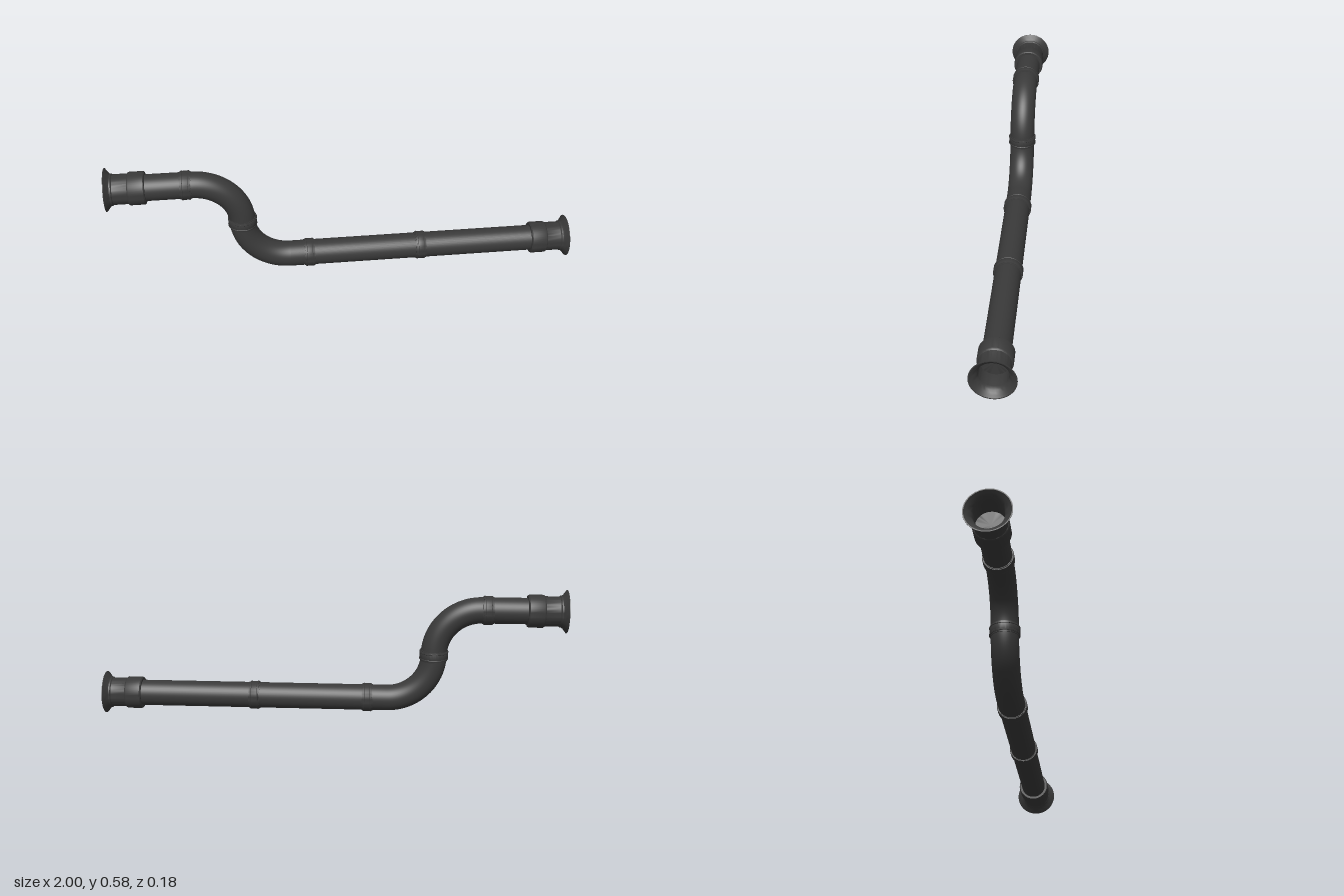
import * as THREE from 'three';
import { toCreasedNormals } from 'three/addons/utils/BufferGeometryUtils.js';

const R = 0.056, LOW = 0.0915, HIGH = 0.4915, BEND = 0.2, RISER_X = -0.445;
const SEGMENTS = 48;

export function createModel() {
  const group = new THREE.Group();
  const material = new THREE.MeshStandardMaterial({ color: 0x3a3a3a });

  const add = (name, geometry, x, y, rotZ = 0) => {
    const mesh = new THREE.Mesh(geometry, material);
    mesh.name = name;
    mesh.position.set(x, y, 0);
    mesh.rotation.z = rotZ;
    group.add(mesh);
  };
  const lathe = (profile) => toCreasedNormals(
    new THREE.LatheGeometry(profile.map(([r, h]) => new THREE.Vector2(r, h)), SEGMENTS), 0.6);
  const ALONG_X = -Math.PI / 2;

  // Straight pipe runs
  const run = (name, x0, x1, y) => add(name,
    new THREE.CylinderGeometry(R, R, x1 - x0, SEGMENTS, 1, true), (x0 + x1) / 2, y, ALONG_X);
  run('upperPipe', -0.9, RISER_X - BEND, HIGH);
  run('lowerPipe', RISER_X + BEND, 0.9, LOW);

  // Two quarter bends forming the S
  const bend = () => new THREE.TorusGeometry(BEND, R, SEGMENTS, 24, Math.PI / 2);
  add('upperBend', bend(), RISER_X - BEND, HIGH - BEND);
  add('lowerBend', bend(), RISER_X + BEND, LOW + BEND, Math.PI);

  // Joint collars: a raised band with a thin sleeve on each side
  const collar = lathe([
    [R - 0.002, -0.024], [0.058, -0.024], [0.058, -0.019], [0.0605, -0.019],
    [0.0625, -0.016], [0.0625, -0.013], [0.061, -0.011], [0.061, 0.011],
    [0.0625, 0.013], [0.0625, 0.016], [0.0605, 0.019],
    [0.058, 0.019], [0.058, 0.024], [R - 0.002, 0.024],
  ]);
  add('upperCollar', collar, -0.67, HIGH, ALONG_X);
  add('riserCollar', collar, RISER_X, LOW + BEND, 0);
  add('lowerCollarInner', collar, -0.16, LOW, ALONG_X);
  add('lowerCollarOuter', collar, 0.335, LOW, ALONG_X);

  // Flared sockets: outside, lip, hollow inside and closing floor
  const socket = lathe([
    [R - 0.002, 0.835], [0.066, 0.835], [0.07, 0.84], [0.07, 0.9], [0.066, 0.906],
    [0.064, 0.907], [0.064, 0.968], [0.068, 0.972], [0.068, 0.978], [0.073, 0.984],
    [0.08, 0.989], [0.0915, 0.998], [0.0915, 1],
    [0.0875, 1], [0.08, 0.994], [0.072, 0.988], [0.065, 0.98], [0.061, 0.972],
    [0.0585, 0.965], [0.0585, 0.902], [0, 0.902],
  ]);
  add('lowerSocket', socket, 0, LOW, ALONG_X);
  add('upperSocket', socket, 0, HIGH, -ALONG_X);

  return group;
}
